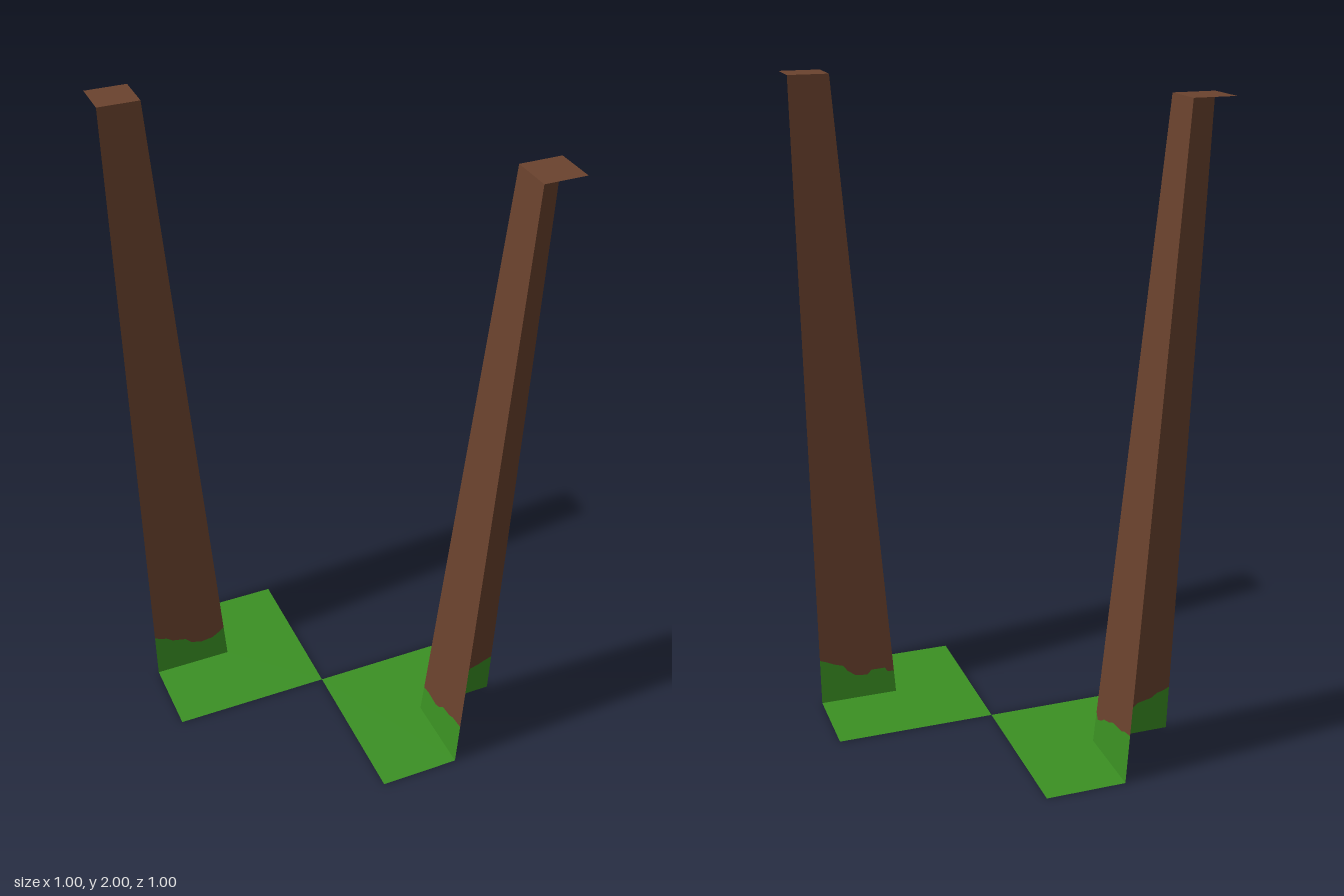
import * as THREE from 'three';

const BARK = new THREE.MeshStandardMaterial({ color: 0x6b432e, side: THREE.DoubleSide });
BARK.name = 'barkBrown';
const MOSS = new THREE.MeshStandardMaterial({ color: 0x3b9123, side: THREE.DoubleSide });
MOSS.name = 'grassGreen';

const HEIGHT = 2, OUTER = 0.5;
// distance of the tapering inner walls from the centre at height y
const inner = (y) => 0.25 + 0.0625 * y;

function addMesh(parent, name, geometry, material) {
  const mesh = new THREE.Mesh(geometry, material);
  mesh.name = name;
  parent.add(mesh);
}

// flat outline [distance, y] laid on the sloping wall of one corner;
// axis 'z' faces along z, axis 'x' along x, sign picks the corner
function wallGeometry(points, axis, sign) {
  const shape = new THREE.Shape(points.map(([d, y]) => new THREE.Vector2(d, y)));
  const geometry = new THREE.ShapeGeometry(shape);
  const pos = geometry.attributes.position;
  for (let i = 0; i < pos.count; i++) {
    const d = pos.getX(i) * sign, y = pos.getY(i), slope = inner(y) * sign;
    if (axis === 'z') pos.setXYZ(i, d, y, slope);
    else pos.setXYZ(i, slope, y, d);
  }
  // turn the wall towards the centre of the model
  if ((axis === 'z') === (sign > 0)) {
    const index = geometry.index;
    for (let i = 0; i < index.count; i += 3) {
      const a = index.getX(i);
      index.setX(i, index.getX(i + 1));
      index.setX(i + 1, a);
    }
  }
  geometry.computeVertexNormals();
  return geometry;
}

// ragged grass line of each wall, from the inner edge to the outer edge
const GRASS = {
  frontZ: [[0.25, 0.075], [0.275, 0.075], [0.285, 0.09], [0.33, 0.09], [0.345, 0.075], [0.385, 0.08],
    [0.41, 0.1], [0.425, 0.12], [0.455, 0.13], [0.475, 0.14], [0.5, 0.15]],
  frontX: [[0.25, 0.1], [0.29, 0.105], [0.34, 0.1], [0.365, 0.11], [0.385, 0.13], [0.43, 0.135],
    [0.45, 0.145], [0.5, 0.15]],
  backZ: [[0.25, 0.115], [0.275, 0.1], [0.3, 0.085], [0.34, 0.08], [0.375, 0.09], [0.395, 0.11],
    [0.44, 0.12], [0.46, 0.135], [0.48, 0.14], [0.5, 0.15]],
  backX: [[0.25, 0.105], [0.27, 0.085], [0.295, 0.095], [0.315, 0.11], [0.35, 0.12], [0.38, 0.135],
    [0.44, 0.14], [0.46, 0.15], [0.5, 0.158]],
};

function buildCorner(side, sign) {
  const corner = new THREE.Group();
  corner.name = side + 'Corner';

  // L-shaped ground tile, open below the trunk
  const outline = [[0, 0], [0.5, 0], [0.5, 0.25], [0.25, 0.25], [0.25, 0.5], [0, 0.5]];
  const tile = new THREE.ShapeGeometry(
    new THREE.Shape(outline.map(([x, z]) => new THREE.Vector2(x * sign, -z * sign))));
  tile.rotateX(-Math.PI / 2);
  addMesh(corner, 'groundTile', tile, MOSS);

  // two inner trunk walls, grass at the foot and bark above
  for (const axis of ['z', 'x']) {
    const line = GRASS[side + axis.toUpperCase()].map(([d, y]) => [d === 0.25 ? inner(y) : d, y]);
    const grass = [[0.25, 0], ...line, [OUTER, 0]];
    const bark = [[inner(HEIGHT), HEIGHT], ...line, [OUTER, HEIGHT]];
    addMesh(corner, 'grassFoot', wallGeometry(grass, axis, sign), MOSS);
    addMesh(corner, 'trunkWall', wallGeometry(bark, axis, sign), BARK);
  }

  // square trunk top
  const size = OUTER - inner(HEIGHT), mid = sign * (OUTER - size / 2);
  const top = new THREE.PlaneGeometry(size, size);
  top.rotateX(-Math.PI / 2).translate(mid, HEIGHT, mid);
  addMesh(corner, 'trunkTop', top, BARK);
  return corner;
}

export function createModel() {
  const model = new THREE.Group();
  model.name = 'cornerTrunks';
  model.add(buildCorner('front', 1), buildCorner('back', -1));
  return model;
}
